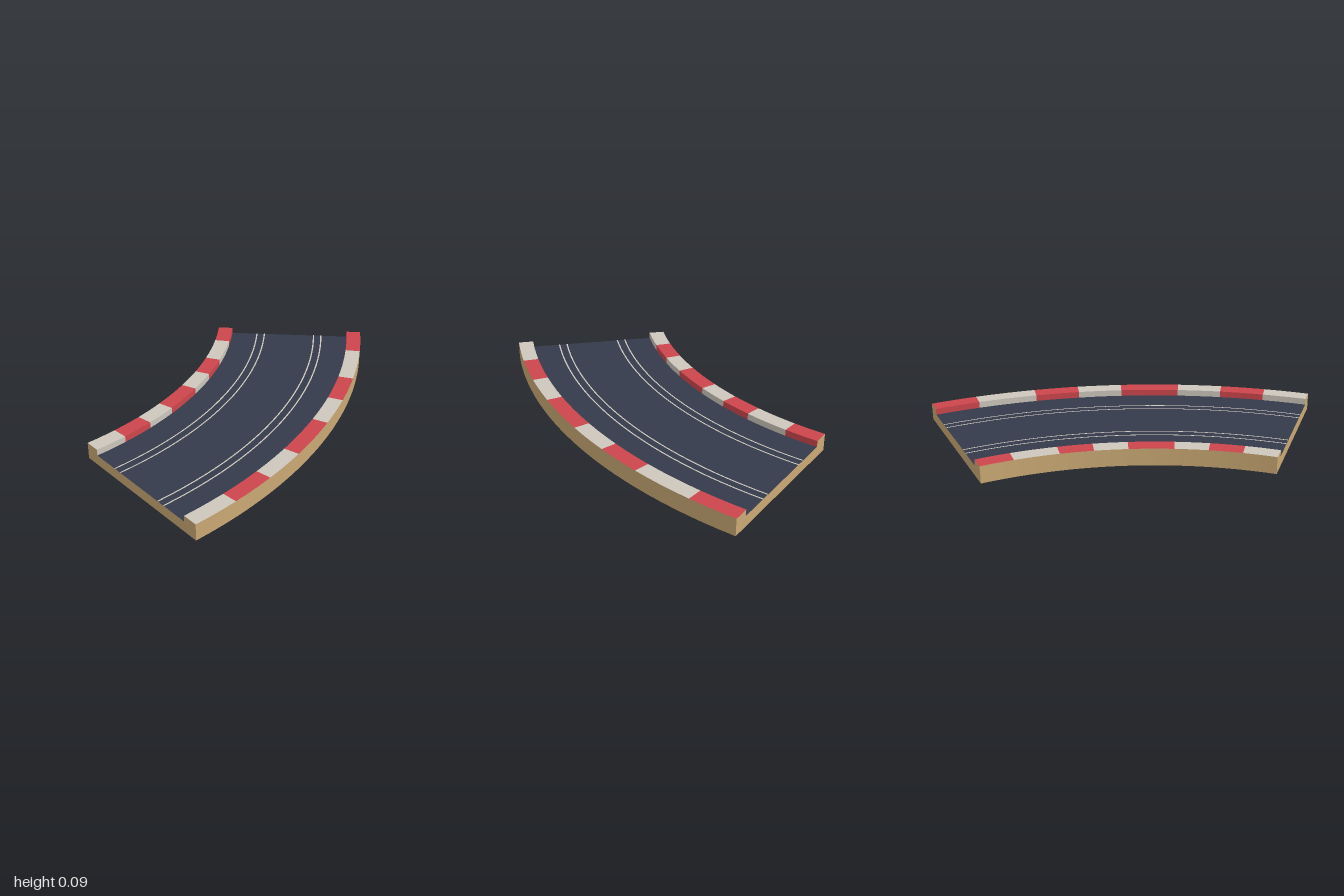
import * as THREE from 'three';

const STEPS = 26;                 // divisions along the bend
const BEND = Math.PI / 4;         // 45 degree curve
const CX = -2.1, CZ = -1;         // centre of the bend
const R_IN = 1.935, R_OUT = 2.828, KERB = 0.086;
const ROAD_Y = 0.06, TOP_Y = 0.095;
const ROAD_IN = R_IN + KERB, ROAD_OUT = R_OUT - KERB;

// Sweeps a profile of [radius, height] points around the bend from step i0 to i1;
// smooth along the bend, sharp between profile edges.
function sweep(profile, i0 = 0, i1 = STEPS) {
  const pos = [], index = [];
  for (let e = 0; e < profile.length - 1; e++) {
    const base = pos.length / 3;
    for (let i = i0; i <= i1; i++) {
      const a = (i / STEPS) * BEND;
      for (const [r, y] of [profile[e], profile[e + 1]]) {
        pos.push(CX + r * Math.cos(a), y, CZ + r * Math.sin(a));
      }
    }
    for (let i = 0; i < i1 - i0; i++) {
      const p = base + i * 2;
      index.push(p, p + 2, p + 3, p, p + 3, p + 1);
    }
  }
  const g = new THREE.BufferGeometry();
  g.setAttribute('position', new THREE.Float32BufferAttribute(pos, 3));
  g.setIndex(index);
  g.computeVertexNormals();
  return g;
}

// Flat end face with the trough-shaped section of the track
function endFace(dir, turn) {
  const section = [
    [R_IN, 0], [R_OUT, 0], [R_OUT, TOP_Y], [ROAD_OUT, TOP_Y],
    [ROAD_OUT, ROAD_Y], [ROAD_IN, ROAD_Y], [ROAD_IN, TOP_Y], [R_IN, TOP_Y],
  ];
  const shape = new THREE.Shape(section.map(([r, y]) => new THREE.Vector2(r * dir, y)));
  return new THREE.ShapeGeometry(shape).rotateY(turn).translate(CX, 0, CZ);
}

export function createModel() {
  const group = new THREE.Group();
  const material = (name, color) => {
    const m = new THREE.MeshStandardMaterial({ color });
    m.name = name;
    return m;
  };
  const wood = material('wood', 0xcaa974);
  const asphalt = material('asphalt', 0x343a4b);
  const red = material('kerbRed', 0xcc464c);
  const white = material('kerbWhite', 0xcdc7bc);

  const add = (name, geometry, mat) => {
    const mesh = new THREE.Mesh(geometry, mat);
    mesh.name = name;
    group.add(mesh);
  };

  // Wooden body: outer wall, underside, inner wall and both ends
  add('body', sweep([[R_OUT, TOP_Y], [R_OUT, 0], [R_IN, 0], [R_IN, TOP_Y]]), wood);
  add('backEnd', endFace(-1, Math.PI), wood);
  add('frontEnd', endFace(1, -BEND), wood);

  // Driving surface
  add('road', sweep([[ROAD_IN, ROAD_Y], [ROAD_OUT, ROAD_Y]]), asphalt);

  // Two pairs of lane lines
  for (const r of [2.178, 2.225, 2.537, 2.583]) {
    add('laneLine', sweep([[r - 0.004, ROAD_Y + 0.002], [r + 0.004, ROAD_Y + 0.002]]), white);
  }

  // Striped kerbs: top and road-facing wall
  const innerKerb = [[R_IN, TOP_Y], [ROAD_IN, TOP_Y], [ROAD_IN, ROAD_Y]];
  const outerKerb = [[ROAD_OUT, ROAD_Y], [ROAD_OUT, TOP_Y], [R_OUT, TOP_Y]];
  const stripes = [0, 3, 7, 10, 13, 17, 20, 23, STEPS];
  for (let s = 0; s < stripes.length - 1; s++) {
    const mat = s % 2 ? white : red;
    add('innerKerb', sweep(innerKerb, stripes[s], stripes[s + 1]), mat);
    add('outerKerb', sweep(outerKerb, stripes[s], stripes[s + 1]), mat);
  }
  return group;
}
